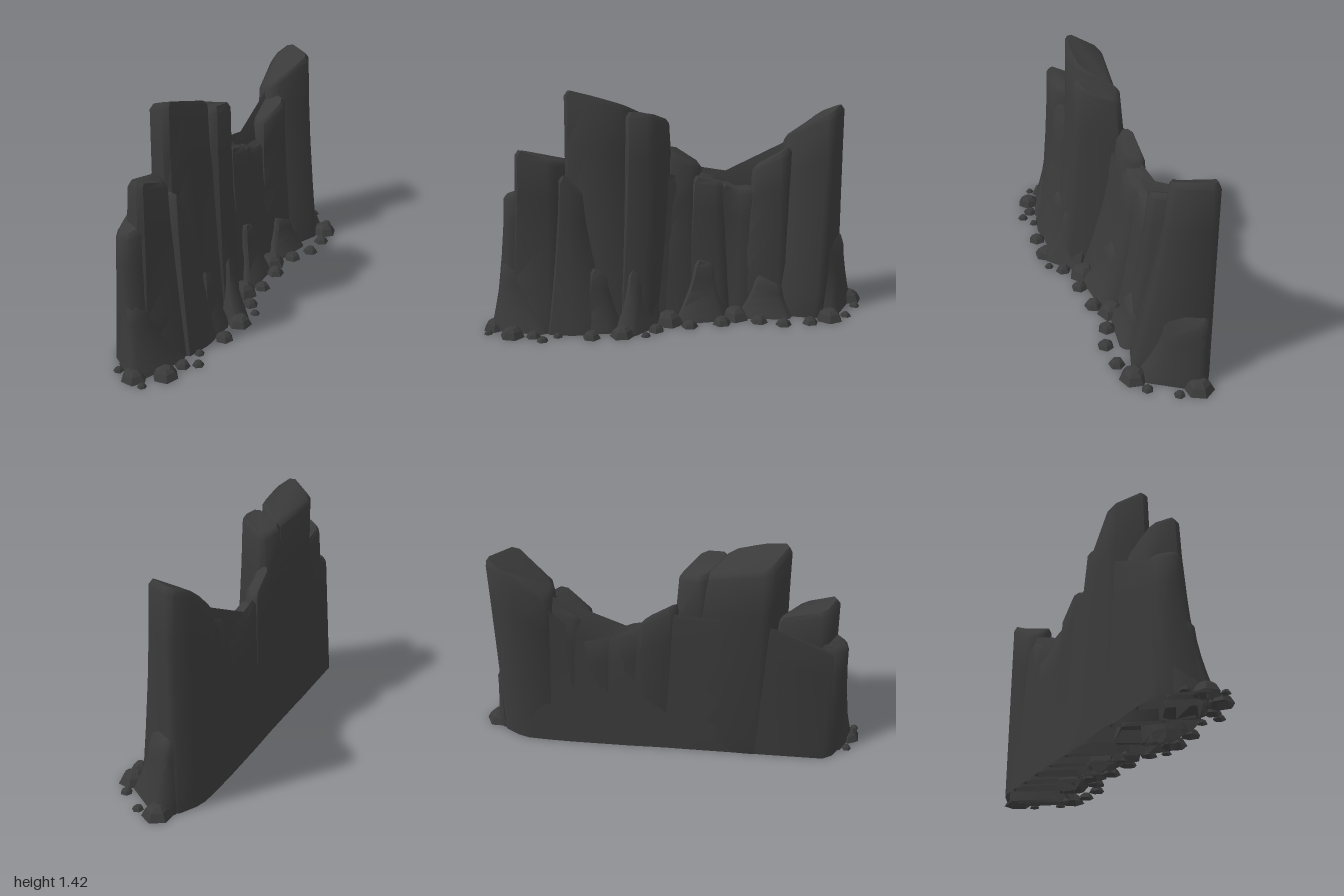
import * as THREE from 'three';
import { toCreasedNormals } from 'three/addons/utils/BufferGeometryUtils.js';

// Double-sided because the rocks are open underneath.
const stone = new THREE.MeshStandardMaterial({ color: 0x3a3a3a, side: THREE.DoubleSide });
stone.name = 'darkStone';

// Cut each corner of a closed outline by a short distance.
function bevelCorners(points, cut) {
  const out = [];
  points.forEach((p, i) => {
    for (const q of [points.at(i - 1), points[(i + 1) % points.length]]) {
      out.push(p.clone().lerp(q, Math.min(0.3, cut / p.distanceTo(q))));
    }
  });
  return out;
}

// Rock slab lofted from a wide foot [x, z] to a sloping crown [x, z, y].
function slab(name, foot, crown, cut = 0.035) {
  const area = foot.reduce((s, p, i) => {
    const q = foot[(i + 1) % foot.length];
    return s + p[0] * q[1] - q[0] * p[1];
  }, 0);
  let low = foot.map(([x, z]) => new THREE.Vector3(x, 0, z));
  let high = crown.map(([x, z, y]) => new THREE.Vector3(x, y, z));
  if (area > 0) { low.reverse(); high.reverse(); }
  low = bevelCorners(low, cut);
  high = bevelCorners(high, cut);
  const n = low.length;
  const centre = high.reduce((s, p) => s.add(p), new THREE.Vector3()).divideScalar(n);

  // The back rises straight; the front flares out at the foot.
  const rings = [0, 0.12, 0.3, 0.55, 0.8, 1].map((f) => low.map((p, i) => {
    const isBack = p.x * 0.574 + p.z * 0.819 < -0.15;
    const v = p.clone().lerp(high[i], isBack ? f : 1 - (1 - f) ** 1.45);
    v.y = (high[i].y - 0.03) * f;
    return v;
  }));
  const top = high.map((p) => {
    const inward = centre.clone().sub(p).setY(0);
    return p.clone().addScaledVector(inward.normalize(), 0.022);
  });
  rings.push(top);

  const pos = rings.flat().flatMap((v) => [v.x, v.y, v.z]);
  const index = [];
  for (let r = 0; r < rings.length - 1; r++) {
    for (let i = 0; i < n; i++) {
      const a = r * n + i, b = r * n + (i + 1) % n;
      index.push(a, b, b + n, a, b + n, a + n);
    }
  }
  // Crown
  const start = (rings.length - 1) * n;
  const flat = top.map((v) => new THREE.Vector2(v.x, -v.z));
  for (const [a, b, c] of THREE.ShapeUtils.triangulateShape(flat, [])) {
    index.push(start + a, start + b, start + c);
  }
  const geo = new THREE.BufferGeometry();
  geo.setAttribute('position', new THREE.Float32BufferAttribute(pos, 3));
  geo.setIndex(index);
  const mesh = new THREE.Mesh(toCreasedNormals(geo, 0.9), stone);
  mesh.name = name;
  return mesh;
}

// Low six-sided stone with facets.
function pebble(x, z, r, i) {
  const profile = [[1, 0], [0.72, 0.5], [0.4, 0.75], [0, 0.78]]
    .map(([a, b]) => new THREE.Vector2(a * r, b * r));
  const geo = new THREE.LatheGeometry(profile, 6).toNonIndexed();
  geo.computeVertexNormals();
  const mesh = new THREE.Mesh(geo, stone);
  mesh.name = 'pebble' + (i + 1);
  mesh.position.set(x, 0, z);
  mesh.rotation.y = i * 1.3;
  return mesh;
}

export function createModel() {
  const model = new THREE.Group();
  model.name = 'rockWall';

  // Long core: a straight back whose rim follows the skyline
  model.add(slab('core',
    [[-0.94, 0.38], [-0.57, 0.12], [-0.08, -0.22], [0.07, -0.33], [0.27, -0.47], [0.37, -0.54],
      [0.52, -0.64], [0.65, -0.72], [0.82, -0.74], [0.83, -0.4], [0.55, -0.3], [0.35, -0.2],
      [0.1, 0], [-0.05, 0.15], [-0.2, 0.3], [-0.55, 0.45], [-0.92, 0.62]],
    [[-0.9, 0.41, 0.78], [-0.57, 0.15, 0.98], [-0.08, -0.16, 1.0], [0.07, -0.26, 0.89],
      [0.27, -0.4, 0.74], [0.37, -0.47, 0.8], [0.52, -0.58, 1.0], [0.66, -0.7, 1.15],
      [0.81, -0.72, 1.2], [0.8, -0.5, 0.9], [0.5, -0.42, 0.9], [0.3, -0.32, 0.72],
      [0.1, -0.2, 0.8], [-0.1, 0, 0.9], [-0.3, 0.2, 0.9], [-0.57, 0.33, 0.85], [-0.88, 0.5, 0.75]]));

  // Slabs that make the skyline, from the model's right to its left
  model.add(
    slab('endSlab',
      [[-0.94, 0.39], [-0.94, 0.66], [-0.78, 0.62], [-0.75, 0.26]],
      [[-0.91, 0.42, 0.81], [-0.91, 0.54, 0.81], [-0.77, 0.54, 0.84], [-0.77, 0.34, 0.84]]),
    slab('shoulderSlab',
      [[-0.87, 0.34], [-0.86, 0.63], [-0.55, 0.58], [-0.52, 0.1]],
      [[-0.82, 0.38, 1.05], [-0.81, 0.55, 1.09], [-0.6, 0.45, 1.02], [-0.57, 0.22, 0.99]]),
    slab('frontButtress',
      [[-0.58, 0.2], [-0.6, 0.61], [-0.4, 0.54], [-0.22, 0.36], [-0.25, 0.1]],
      [[-0.58, 0.3, 0.91], [-0.58, 0.45, 0.94], [-0.5, 0.42, 0.88], [-0.45, 0.35, 0.84], [-0.45, 0.25, 0.84]]),
    slab('tallSlab',
      [[-0.59, 0.13], [-0.59, 0.42], [-0.3, 0.4], [-0.08, 0.24], [-0.08, -0.21]],
      [[-0.58, 0.13, 1.35], [-0.58, 0.36, 1.43], [-0.4, 0.31, 1.39], [-0.24, 0.2, 1.34], [-0.23, -0.02, 1.26]]),
    slab('tallSideSlab',
      [[-0.3, -0.05], [-0.25, 0.36], [-0.07, 0.28], [-0.07, -0.22]],
      [[-0.26, -0.04, 1.26], [-0.24, 0.24, 1.3], [-0.08, 0.17, 1.29], [-0.08, -0.08, 1.22]]),
    slab('middleSlab',
      [[-0.13, -0.18], [-0.08, 0.16], [0.12, 0.04], [0.1, -0.34]],
      [[-0.13, -0.14, 1.05], [-0.1, -0.04, 1.03], [0.06, -0.13, 0.94], [0.06, -0.26, 0.93]]),
    slab('lowSlab',
      [[0.04, -0.3], [0.03, 0.07], [0.3, -0.06], [0.27, -0.46]],
      [[0.04, -0.25, 0.88], [0.03, -0.1, 0.87], [0.2, -0.18, 0.83], [0.24, -0.37, 0.8]]),
    slab('saddleSlab',
      [[0.16, -0.39], [0.16, -0.06], [0.29, -0.12], [0.42, -0.18], [0.42, -0.56]],
      [[0.18, -0.34, 0.82], [0.18, -0.19, 0.82], [0.27, -0.25, 0.77], [0.39, -0.3, 0.78], [0.39, -0.48, 0.78]]),
    slab('risingSlab',
      [[0.34, -0.51], [0.3, -0.15], [0.6, -0.25], [0.56, -0.66]],
      [[0.35, -0.46, 0.93], [0.35, -0.3, 0.92], [0.57, -0.34, 1.03], [0.57, -0.58, 1.04]]),
    slab('highEndSlab',
      [[0.46, -0.59], [0.45, -0.22], [0.83, -0.3], [0.83, -0.74], [0.65, -0.72]],
      [[0.47, -0.56, 1.06], [0.52, -0.44, 1.12], [0.82, -0.47, 1.26], [0.82, -0.73, 1.28], [0.66, -0.71, 1.22]]));

  // Low spurs at the foot
  model.add(
    slab('leftSpur',
      [[0.78, -0.74], [0.76, -0.3], [0.91, -0.36], [0.92, -0.72]],
      [[0.79, -0.72, 0.47], [0.79, -0.45, 0.46], [0.86, -0.5, 0.33], [0.86, -0.71, 0.42]]),
    slab('rightSpur',
      [[-0.95, 0.46], [-0.94, 0.69], [-0.58, 0.61], [-0.6, 0.4]],
      [[-0.92, 0.44, 0.42], [-0.91, 0.6, 0.42], [-0.77, 0.58, 0.37], [-0.75, 0.42, 0.37]]),
    slab('buttressSpur',
      [[-0.48, 0.36], [-0.44, 0.54], [-0.22, 0.42], [-0.2, 0.24]],
      [[-0.42, 0.3, 0.4], [-0.4, 0.43, 0.38], [-0.31, 0.38, 0.35], [-0.27, 0.25, 0.32]]),
    slab('middleSpur',
      [[-0.28, 0.32], [-0.2, 0.46], [-0.1, 0.42], [-0.02, 0.16]],
      [[-0.21, 0.18, 0.34], [-0.19, 0.31, 0.37], [-0.13, 0.28, 0.35], [-0.1, 0.12, 0.32]], 0.02),
    slab('saddleSpur',
      [[0, -0.05], [0.04, 0.16], [0.3, -0.02], [0.3, -0.18]],
      [[0.08, -0.14, 0.36], [0.1, -0.01, 0.36], [0.2, -0.08, 0.34], [0.21, -0.2, 0.34]], 0.02),
    slab('risingSpur',
      [[0.34, -0.3], [0.34, -0.08], [0.66, -0.21], [0.65, -0.36]],
      [[0.42, -0.34, 0.26], [0.43, -0.19, 0.25], [0.58, -0.25, 0.2], [0.58, -0.36, 0.2]], 0.02));

  // Loose stones along the foot: x, z, radius
  const stones = [
    [-0.97, 0.54, 0.03], [-0.91, 0.73, 0.027], [-0.92, 0.64, 0.075], [-0.76, 0.7, 0.075],
    [-0.64, 0.66, 0.045], [-0.56, 0.69, 0.035], [-0.51, 0.6, 0.03], [-0.32, 0.53, 0.055],
    [-0.17, 0.43, 0.075], [-0.04, 0.38, 0.03], [-0.02, 0.28, 0.05], [0, 0.14, 0.095],
    [0.14, 0.14, 0.052], [0.3, 0.02, 0.058], [0.34, -0.1, 0.09], [0.5, -0.1, 0.055],
    [0.65, -0.12, 0.05], [0.79, -0.21, 0.05], [0.88, -0.32, 0.085], [0.96, -0.41, 0.035],
    [0.97, -0.59, 0.033], [0.9, -0.69, 0.088],
  ];
  stones.forEach(([x, z, r], i) => model.add(pebble(x, z, r, i)));
  return model;
}
